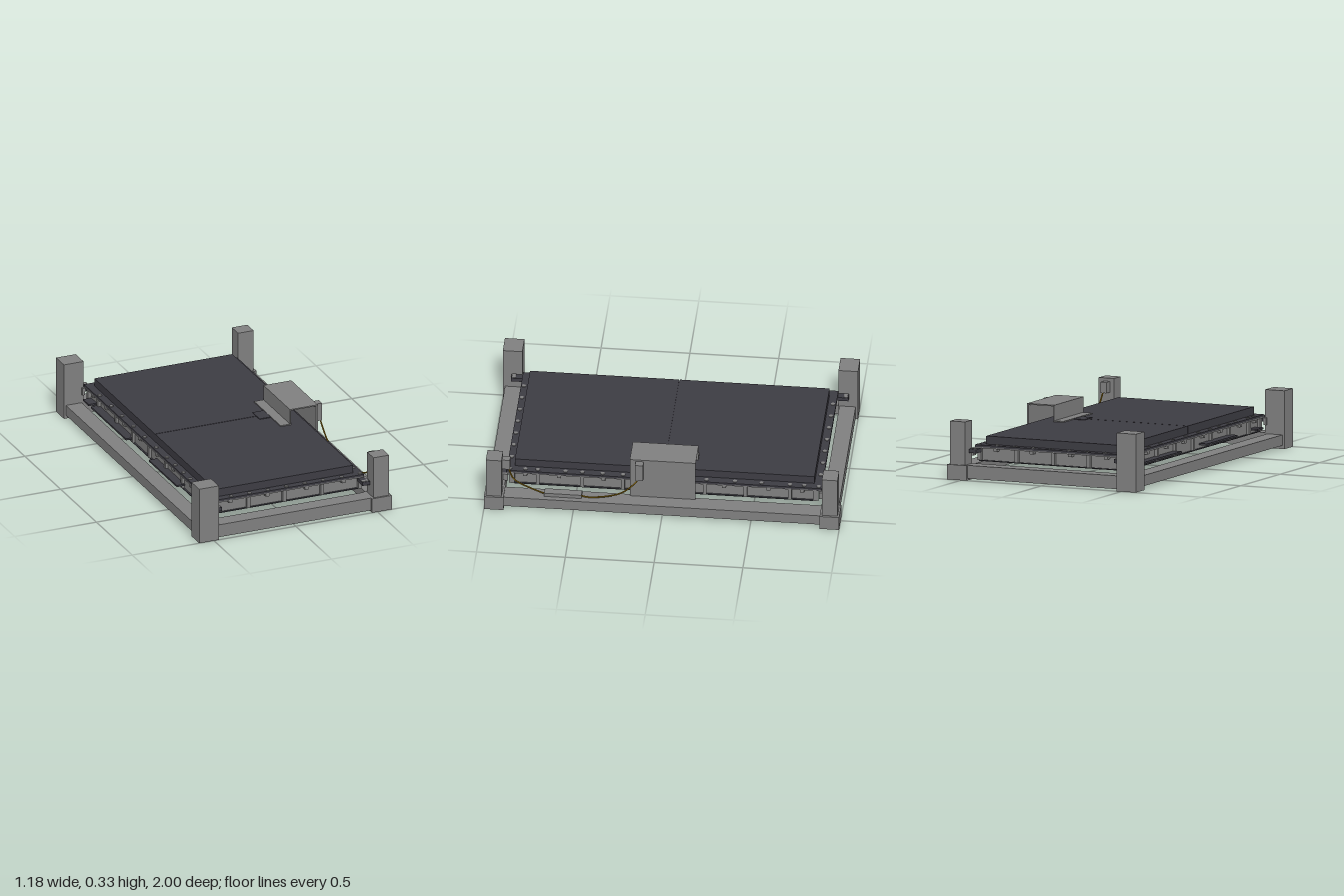
import * as THREE from 'three';

const mat = (name, color) => {
  const m = new THREE.MeshStandardMaterial({ color });
  m.name = name;
  return m;
};

export function createModel() {
  const grey = mat('steelGrey', 0x808080);
  const dark = mat('darkPanel', 0x3d3c43);
  const yellow = mat('cableYellow', 0x8a6a10);
  const root = new THREE.Group();
  root.name = 'platform';

  // box given by its limits on each axis
  const box = (name, m, [x0, x1], [y0, y1], [z0, z1], parent = root) => {
    const mesh = new THREE.Mesh(new THREE.BoxGeometry(x1 - x0, y1 - y0, z1 - z0), m);
    mesh.position.set((x0 + x1) / 2, (y0 + y1) / 2, (z0 + z1) / 2);
    mesh.name = name;
    parent.add(mesh);
    return mesh;
  };
  const group = (name) => {
    const g = new THREE.Group();
    g.name = name;
    root.add(g);
    return g;
  };
  const span = (s, a, b) => (s > 0 ? [a, b] : [-b, -a]);

  // base frame and corner posts
  const frame = group('frame');
  box('leftBeam', grey, [-0.578, -0.482], [0.02, 0.08], [-0.89, 0.89], frame);
  box('rightBeam', grey, [0.475, 0.575], [0.02, 0.08], [-0.89, 0.89], frame);
  for (const s of [1, -1]) {
    box('endBeam', grey, [-0.47, 0.466], [0.01, 0.085], span(s, 0.895, 0.987), frame);
    box('tallPost', grey, [-0.59, -0.47], [0, 0.33], span(s, 0.89, 1), frame);
    box('postFoot', grey, [0.466, 0.588], [0, 0.085], span(s, 0.89, 1), frame);
    box('post', grey, [0.48, 0.575], [0.085, 0.33], span(s, 0.902, 0.99), frame);
  }

  // tray with ribs and clips
  const tray = group('tray');
  box('trayWalls', grey, [-0.448, 0.448], [0.1, 0.172], [-0.85, 0.85], tray);
  box('trayBottom', dark, [-0.458, 0.458], [0.095, 0.1], [-0.86, 0.86], tray);
  box('flange', dark, [-0.468, 0.468], [0.178, 0.19], [-0.89, 0.885], tray);
  box('flangeRim', grey, [-0.468, 0.468], [0.172, 0.178], [-0.89, 0.885], tray);
  for (const s of [1, -1]) {
    for (const x of [-0.45, -0.23, -0.01, 0.22, 0.45])
      box('endRib', grey, [x - 0.01, x + 0.01], [0.1, 0.172], span(s, 0.85, 0.87), tray);
    for (const x of [-0.345, -0.12, 0.12, 0.345])
      box('endClip', grey, [x - 0.011, x + 0.011], [0.156, 0.172], span(s, 0.85, 0.882), tray);
    for (const z of [-0.85, -0.71, -0.46, -0.23, 0, 0.23, 0.46, 0.71, 0.85])
      box('sideRib', grey, span(s, 0.448, 0.464), [0.1, 0.172], [z - 0.01, z + 0.01], tray);
    for (const z of [-0.78, -0.59, -0.34, -0.12, 0.12, 0.34, 0.59, 0.78])
      box('sideClip', grey, span(s, 0.448, 0.468), [0.156, 0.172], [z - 0.011, z + 0.011], tray);
  }

  // plates beside the tray on the open side
  for (const z of [[-0.83, -0.75], [-0.72, -0.23], [0.09, 0.48], [0.73, 0.81]])
    box('sidePlate', dark, [-0.5, -0.45], [0.118, 0.128], z, tray);

  // deck in two halves
  const deck = group('deck');
  box('rearDeck', dark, [-0.423, 0.42], [0.19, 0.236], [-0.845, -0.002], deck);
  box('frontDeck', dark, [-0.423, 0.42], [0.19, 0.236], [0.002, 0.842], deck);
  box('deckSeam', dark, [-0.422, 0.419], [0.19, 0.232], [-0.002, 0.002], deck);

  // bolts around the flange
  const bolts = group('flangeBolts');
  const boltGeo = new THREE.CylinderGeometry(0.012, 0.012, 0.006, 12);
  const bolt = (x, y, z) => {
    const b = new THREE.Mesh(boltGeo, grey);
    b.position.set(x, y, z);
    b.name = 'bolt';
    bolts.add(b);
  };
  for (const z of [-0.872, 0.868])
    for (let i = -3; i <= 4; i++) bolt(i * 0.1125, 0.191, z);
  for (const x of [-0.45, 0.447])
    for (const z of [-0.71, -0.55, -0.4, -0.24, -0.08, 0.08, 0.23, 0.345, 0.46, 0.555, 0.71, 0.78])
      bolt(x, 0.191, z);
  bolt(0.447, 0.191, -0.79);

  // corner brackets joining tray and posts
  const brackets = group('cornerBrackets');
  for (const sx of [1, -1])
    for (const sz of [1, -1]) {
      box('bracket', dark, span(sx, 0.43, 0.475), [0.15, 0.172], span(sz, 0.88, 0.95), brackets);
      box('bracketArm', grey, span(sx, 0.468, 0.483), [0.13, 0.172], span(sz, 0.875, 0.91), brackets);
      for (const dx of [0.443, 0.462]) bolt(sx * dx, 0.172, sz * 0.935);
    }

  // bridge cover at the side
  const cover = group('sideCover');
  const cz = [-0.182, 0.188];
  box('coverWall', grey, [0.48, 0.49], [0.075, 0.33], cz, cover);
  box('coverTop', grey, [0.32, 0.48], [0.323, 0.33], cz, cover);
  box('coverInnerWall', grey, [0.32, 0.326], [0.242, 0.323], cz, cover);
  box('coverFoot', grey, [0.263, 0.326], [0.236, 0.242], cz, cover);
  box('sensorTab', dark, [0.195, 0.265], [0.236, 0.24], [-0.05, 0.05], cover);

  // control boxes and cables
  const wiring = group('wiring');
  box('coverBox', grey, [0.49, 0.53], [0.215, 0.32], [0.11, 0.155], wiring);
  box('postBox', grey, [0.505, 0.542], [0.25, 0.312], [0.858, 0.902], wiring);
  box('junctionBox', grey, [0.498, 0.545], [0.08, 0.102], [0.455, 0.665], wiring);
  const cable = (...pts) => {
    const path = new THREE.CatmullRomCurve3(pts.map((p) => new THREE.Vector3(...p)), false, 'centripetal');
    const mesh = new THREE.Mesh(new THREE.TubeGeometry(path, 24, 0.0045, 8), yellow);
    mesh.name = 'cable';
    wiring.add(mesh);
  };
  cable([0.525, 0.218, 0.14], [0.527, 0.195, 0.155], [0.53, 0.12, 0.24], [0.53, 0.082, 0.41], [0.53, 0.09, 0.46]);
  cable([0.535, 0.094, 0.66], [0.538, 0.11, 0.7], [0.54, 0.185, 0.835], [0.53, 0.255, 0.868]);

  return root;
}
